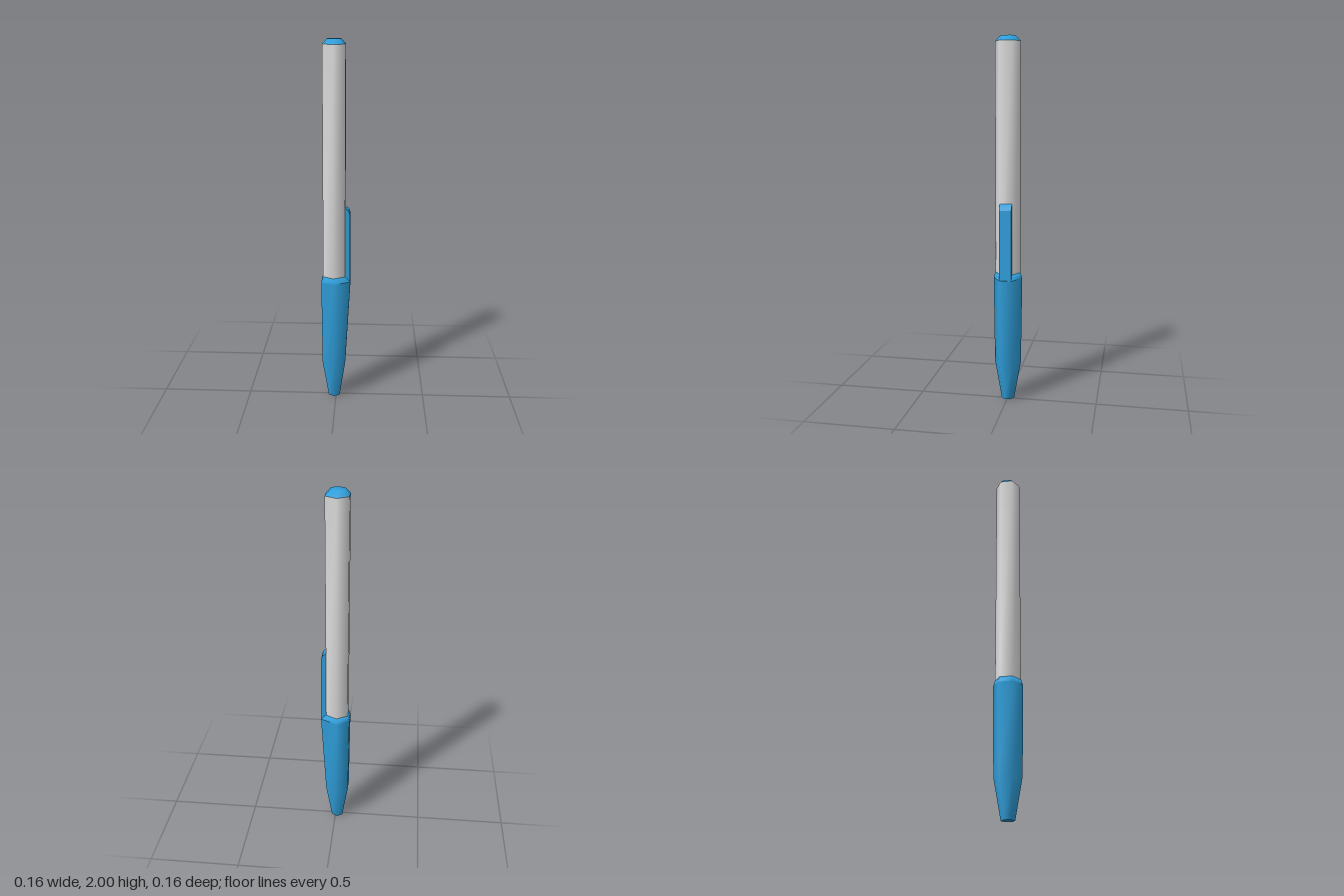
import * as THREE from 'three';

const AXIS = -0.01; // the barrel axis sits slightly off centre because of the clip

// Hexagonal section: points at +-z, flats at left and right
function hexRing(y, r, left, right, half = r / 2) {
  return [
    [AXIS, y, r], [right, y, half], [right, y, -half],
    [AXIS, y, -r], [left, y, -r / 2], [left, y, r / 2],
  ];
}

// Skin a stack of sections, smooth-shaded, optionally closed at either end
function loft(rings, { top = false, bottom = false } = {}) {
  const n = rings[0].length;
  const index = [];
  for (let k = 0; k < rings.length - 1; k++) {
    for (let i = 0; i < n; i++) {
      const j = (i + 1) % n;
      const a = k * n + i, b = k * n + j, c = b + n, d = a + n;
      index.push(a, b, c, a, c, d);
    }
  }
  const last = (rings.length - 1) * n;
  for (let i = 1; i < n - 1; i++) {
    if (top) index.push(last, last + i, last + i + 1);
    if (bottom) index.push(0, i + 1, i);
  }
  const geo = new THREE.BufferGeometry();
  geo.setAttribute('position', new THREE.Float32BufferAttribute(rings.flat(2), 3));
  geo.setIndex(index);
  geo.computeVertexNormals();
  return geo;
}

export function createModel() {
  const group = new THREE.Group();
  const blue = new THREE.MeshStandardMaterial({ color: 0x2f9fdb });
  blue.name = 'blue plastic';
  const grey = new THREE.MeshStandardMaterial({ color: 0xdedede });
  grey.name = 'light grey plastic';

  const add = (name, geo, mat) => {
    const mesh = new THREE.Mesh(geo, mat);
    mesh.name = name;
    group.add(mesh);
    return mesh;
  };

  // Pale barrel and its bevelled end plug
  const barrelTop = hexRing(1.972, 0.069, -0.07, 0.05);
  add('barrel', loft([hexRing(0.7, 0.069, -0.07, 0.05), barrelTop]), grey);
  add('endPlug', loft([barrelTop, hexRing(2, 0.04, -0.045, 0.025)], { top: true }), blue);

  // Cap: tapered tip, long sleeve and bevelled collar
  const tip = hexRing(0, 0.036, -0.041, 0.021);
  add('cap', loft([
    tip,
    hexRing(0.215, 0.074, -0.075, 0.053),
    hexRing(0.7, 0.08, -0.08, 0.08, 0.033),
  ]), blue);
  add('capCollar', loft([
    hexRing(0.7, 0.08, -0.08, 0.08, 0.033),
    hexRing(0.73, 0.07, -0.071, 0.051),
  ], { top: true }), blue);
  add('capTipEnd', loft([tip], { bottom: true }), blue);

  // Pocket clip with a slanted free end
  const profile = new THREE.Shape([
    [0.045, 0.69], [0.079, 0.69], [0.076, 1.085], [0.069, 1.103], [0.049, 1.12],
  ].map(([x, y]) => new THREE.Vector2(x, y)));
  const clip = new THREE.ExtrudeGeometry(profile, { depth: 0.066, bevelEnabled: false });
  clip.translate(0, 0, -0.033);
  add('clip', clip, blue);

  return group;
}
